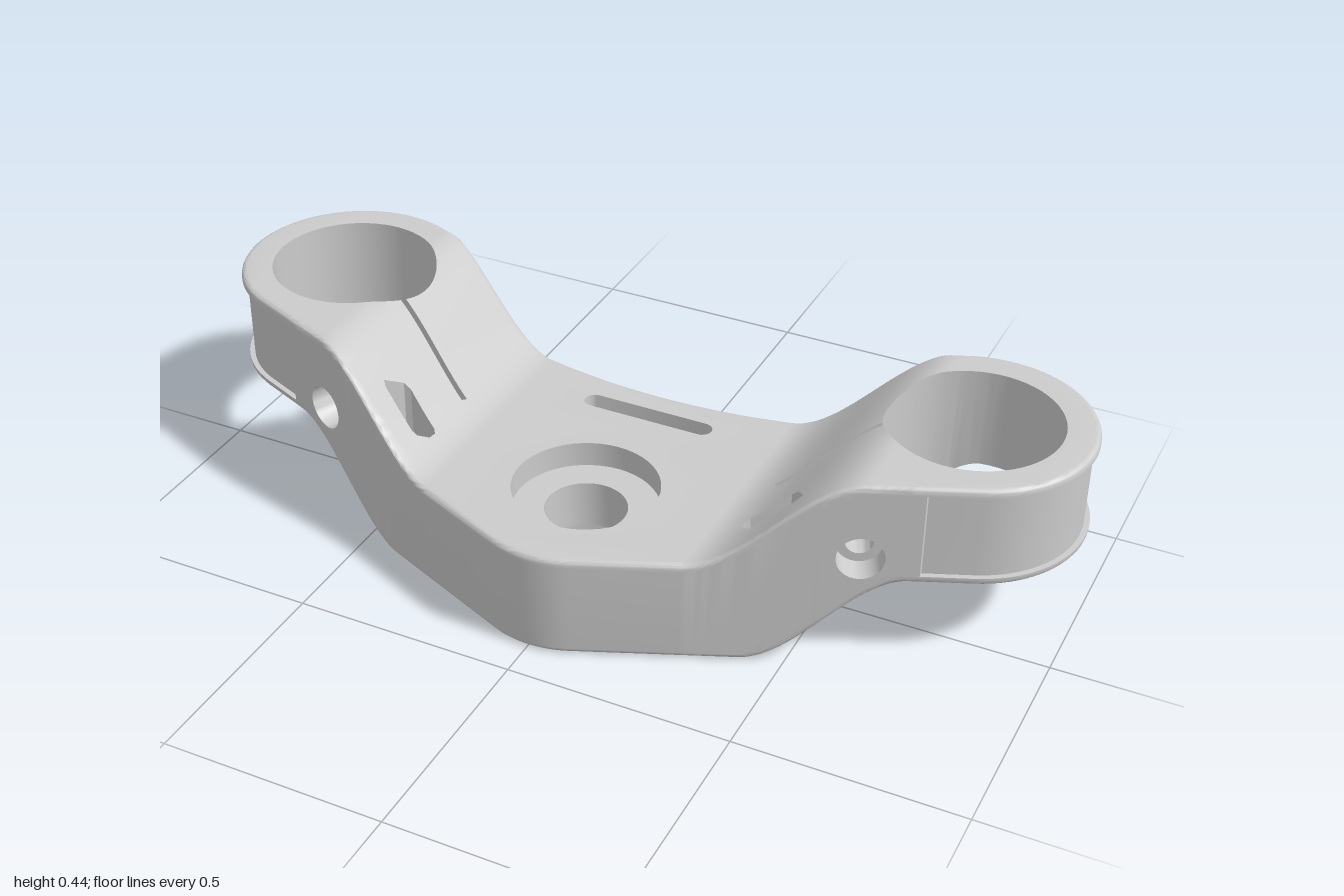
import * as THREE from 'three';
import { toCreasedNormals } from 'three/addons/utils/BufferGeometryUtils.js';

const H = 0.235;      // plate thickness before bending
const E = 0.018;      // lip height above and below the ring recess
const BEVEL = 0.012;  // rounded outer edge
const RECESS = 0.012;
const CX = 0.743, CZ = -0.158, R = 0.257, BORE = 0.187; // fork ring
const NX = 0.39, NZ = 0.9208, LINE = 0.4005;            // front face: NX*x + NZ*z = LINE
const BOLT = { x: 0.63, y: 0.27, r: 0.05, x0: 0.55, x1: 0.71 };
const V = (x, z) => new THREE.Vector2(x, z);
const frontZ = x => (LINE - NX * Math.abs(x)) / NZ;

// Cranked side profile: raised ends, low middle
const topY = x => 0.238 + 0.207 * THREE.MathUtils.smoothstep(Math.abs(x), 0.3, 0.63);
const bottomY = x => 0.213 * THREE.MathUtils.smoothstep(Math.abs(x), 0.41, 0.72);
function bend(x, t) {
  const b = bottomY(x), u = topY(x);
  if (t <= E) return b + t;
  if (t >= H - E) return u - (H - t);
  return b + E + (t - E) / (H - 2 * E) * (u - b - 2 * E);
}
const unbend = (x, y) =>
  E + (y - bottomY(x) - E) / (topY(x) - bottomY(x) - 2 * E) * (H - 2 * E);

// Plan outline, nose to +x to back, then mirrored
function outline() {
  const half = [];
  for (let i = 0; i <= 8; i++) {
    const a = i / 8 * Math.atan2(NX, NZ);
    half.push(V(0.23 * Math.sin(a), 0.185 + 0.23 * Math.cos(a)));
  }
  for (const x of [0.3, BOLT.x0, BOLT.x1, 0.741, 0.745]) half.push(V(x, frontZ(x)));
  const a0 = Math.atan2(NZ, NX), a1 = -2.026;
  const angles = [];
  for (let i = 0; i <= 44; i++) angles.push(a0 + (a1 - a0) * i / 44);
  angles.push(-Math.PI / 2 + 0.006, -Math.PI / 2 - 0.006);
  angles.sort((a, b) => b - a);
  for (const a of angles) half.push(V(CX + R * Math.cos(a), CZ + R * Math.sin(a)));
  for (let i = 1; i <= 16; i++) {
    const x = 0.63 * (1 - i / 16);
    half.push(V(x, -0.25 - 0.37 * x * x));
  }
  const other = half.slice(1, -1).reverse().map(p => V(-p.x, p.y));
  return half.concat(other);
}

function circle(x, z, r, n = 48) {
  return Array.from({ length: n }, (_, i) => {
    const a = i / n * Math.PI * 2;
    return V(x + r * Math.cos(a), z + r * Math.sin(a));
  });
}

// Fork bore joined to its clamping slit
function boreAndSlit(s) {
  const w = 0.007, len = 0.4, a0 = Math.atan2(NX, -NZ), d = w / BORE, pts = [];
  for (let i = 0; i <= 56; i++) {
    const a = a0 + d + (Math.PI * 2 - 2 * d) * i / 56;
    pts.push(V(CX + BORE * Math.cos(a), CZ + BORE * Math.sin(a)));
  }
  for (const k of [1, -1])
    pts.push(V(CX - NZ * len + k * NX * w, CZ + NX * len + k * NZ * w));
  return pts.map(p => V(s * p.x, p.y));
}

function pocket(s) {
  return [[-0.49, 0.14], [-0.465, 0.1], [-0.45, 0.097], [-0.375, 0.13], [-0.368, 0.14],
    [-0.37, 0.16], [-0.388, 0.18], [-0.4, 0.181], [-0.48, 0.15]].map(([x, z]) => V(s * x, z));
}

function rearSlot() {
  const pts = [], r = 0.023;
  for (const s of [1, -1]) for (let i = 0; i <= 10; i++) {
    const a = -Math.PI / 2 + Math.PI * i / 10;
    pts.push(V(s * (0.132 + r * Math.cos(a)), -0.165 + s * r * Math.sin(a)));
  }
  return pts;
}

// Split triangles along a plane of constant x
function sliceX(tris, x) {
  const out = [];
  for (const t of tris) {
    const side = t.map(p => (Math.abs(p.x - x) < 1e-6 ? 0 : Math.sign(p.x - x)));
    if (!(side.includes(1) && side.includes(-1))) { out.push(t); continue; }
    const cut = (p, q) => p.clone().lerp(q, (x - p.x) / (q.x - p.x));
    const on = side.indexOf(0);
    if (on >= 0) {
      const [a, b, c] = [t[on], t[(on + 1) % 3], t[(on + 2) % 3]], m = cut(b, c);
      out.push([a, b, m], [a, m, c]);
      continue;
    }
    const sum = side[0] + side[1] + side[2];
    const lone = side.findIndex(v => v === -sum);
    const [a, b, c] = [t[lone], t[(lone + 1) % 3], t[(lone + 2) % 3]];
    const m = cut(a, b), n = cut(a, c);
    out.push([a, m, n], [m, b, c], [m, c, n]);
  }
  return out;
}

function bodyGeometry() {
  let tris = [];
  const P = (p, t) => new THREE.Vector3(p.x, t, p.y);
  const add = (a, b, c) => {
    const n = b.clone().sub(a).cross(c.clone().sub(a));
    if (n.length() > 1e-10) tris.push([a, b, c]);
  };
  const addFacing = (a, b, c, dir) => {
    const n = b.clone().sub(a).cross(c.clone().sub(a));
    if (n.dot(dir) > 0) add(a, b, c); else add(a, c, b);
  };

  const edge = outline(), N = edge.length;
  const inward = edge.map((p, i) => {
    const d = edge[(i + 1) % N].clone().sub(edge[(i + N - 1) % N]).normalize();
    return V(d.y, -d.x);
  });
  const inset = (i, k) => edge[i].clone().addScaledVector(inward[i], k);

  const through = [rearSlot()];
  for (const s of [1, -1]) through.push(boreAndSlit(s), pocket(s));
  const stem = circle(0, 0.14, 0.16);

  // Top and bottom faces
  const rim = edge.map((_, i) => inset(i, BEVEL));
  const holes = [...through, stem];
  const all = rim.concat(...holes);
  for (const [a, b, c] of THREE.ShapeUtils.triangulateShape(rim, holes))
    for (const [t, up] of [[0, -1], [H, 1]])
      addFacing(P(all[a], t), P(all[b], t), P(all[c], t), new THREE.Vector3(0, up, 0));

  // Outer wall: rounded edge, lip, recess round the rings, lip, rounded edge
  const low = [];
  for (let k = 0; k <= 4; k++) {
    const a = k / 4 * Math.PI / 2;
    low.push([BEVEL * (1 - Math.sin(a)), BEVEL * (1 - Math.cos(a)), 0]);
  }
  low.push([0, E, 0], [0, E, RECESS]);
  const layers = low.concat(low.slice().reverse().map(([k, t, r]) => [k, H - t, r]));
  const at = (i, [k, t, r]) => P(inset(i, k + (Math.abs(edge[i].x) > CX ? r : 0)), t);
  const hasBolt = p => Math.abs(p.x) > BOLT.x0 - 0.001 && Math.abs(p.x) < BOLT.x1 + 0.001 && p.y > 0.1;
  for (let i = 0; i < N; i++) {
    const j = (i + 1) % N;
    for (let l = 0; l + 1 < layers.length; l++) {
      const middle = layers[l + 1][1] - layers[l][1] > 0.1;
      if (middle && hasBolt(edge[i]) && hasBolt(edge[j])) continue;
      const a = at(i, layers[l]), b = at(j, layers[l]);
      const c = at(j, layers[l + 1]), d = at(i, layers[l + 1]);
      add(a, b, c);
      add(a, c, d);
    }
  }

  // Front wall panels pierced by the pinch bolt holes
  const panel = [V(BOLT.x0, E), V(BOLT.x1, E), V(BOLT.x1, H - E), V(BOLT.x0, H - E)];
  const ring = circle(0, 0, BOLT.r, 32).map(p => {
    const x = BOLT.x + NZ * p.x;
    return V(x, unbend(x, BOLT.y + p.y));
  });
  const pts = panel.concat(ring);
  for (const s of [1, -1])
    for (const f of THREE.ShapeUtils.triangulateShape(panel, [ring]))
      addFacing(...f.map(i => new THREE.Vector3(s * pts[i].x, pts[i].y, frontZ(pts[i].x))),
        new THREE.Vector3(0, 0, 1));

  // Walls of the through holes
  for (const h of through) {
    if (THREE.ShapeUtils.area(h) < 0) h.reverse();
    h.forEach((p, i) => {
      const q = h[(i + 1) % h.length];
      add(P(p, 0), P(q, 0), P(q, H));
      add(P(p, 0), P(q, H), P(p, H));
    });
  }

  // Slice across the cranks, then bend
  for (let i = 0; i <= 36; i++)
    for (const s of [1, -1]) tris = sliceX(tris, s * (0.3 + 0.42 * i / 36));
  const pos = [];
  for (const t of tris) for (const p of t) pos.push(p.x, bend(p.x, p.y), p.z);
  const g = new THREE.BufferGeometry();
  g.setAttribute('position', new THREE.Float32BufferAttribute(pos, 3));
  return toCreasedNormals(g, 0.5);
}

export function createModel() {
  const group = new THREE.Group();
  const material = new THREE.MeshStandardMaterial({ color: 0xcccccc, side: THREE.DoubleSide });
  const mesh = (geometry, name) => {
    const m = new THREE.Mesh(geometry, material);
    m.name = name;
    group.add(m);
    return m;
  };
  const lathe = (profile, n) =>
    toCreasedNormals(new THREE.LatheGeometry(profile.map(([r, y]) => V(r, y)), n), 0.5);

  mesh(bodyGeometry(), 'clampBody');

  // Stem bore, counterbored from both sides
  const stem = mesh(lathe([[0.16, 0.238], [0.16, 0.18], [0.09, 0.18], [0.09, 0.07],
    [0.16, 0.07], [0.16, 0]], 48), 'stemBore');
  stem.position.z = 0.14;

  // Pinch bolt holes
  for (const s of [1, -1]) {
    const hole = mesh(lathe([[BOLT.r, 0], [BOLT.r, -0.06], [0.03, -0.06], [0.03, -0.2], [0, -0.2]], 32),
      s > 0 ? 'leftBoltHole' : 'rightBoltHole');
    hole.position.set(s * BOLT.x, BOLT.y, frontZ(BOLT.x));
    hole.quaternion.setFromUnitVectors(new THREE.Vector3(0, 1, 0),
      new THREE.Vector3(s * NX, 0, NZ).normalize());
  }
  return group;
}
